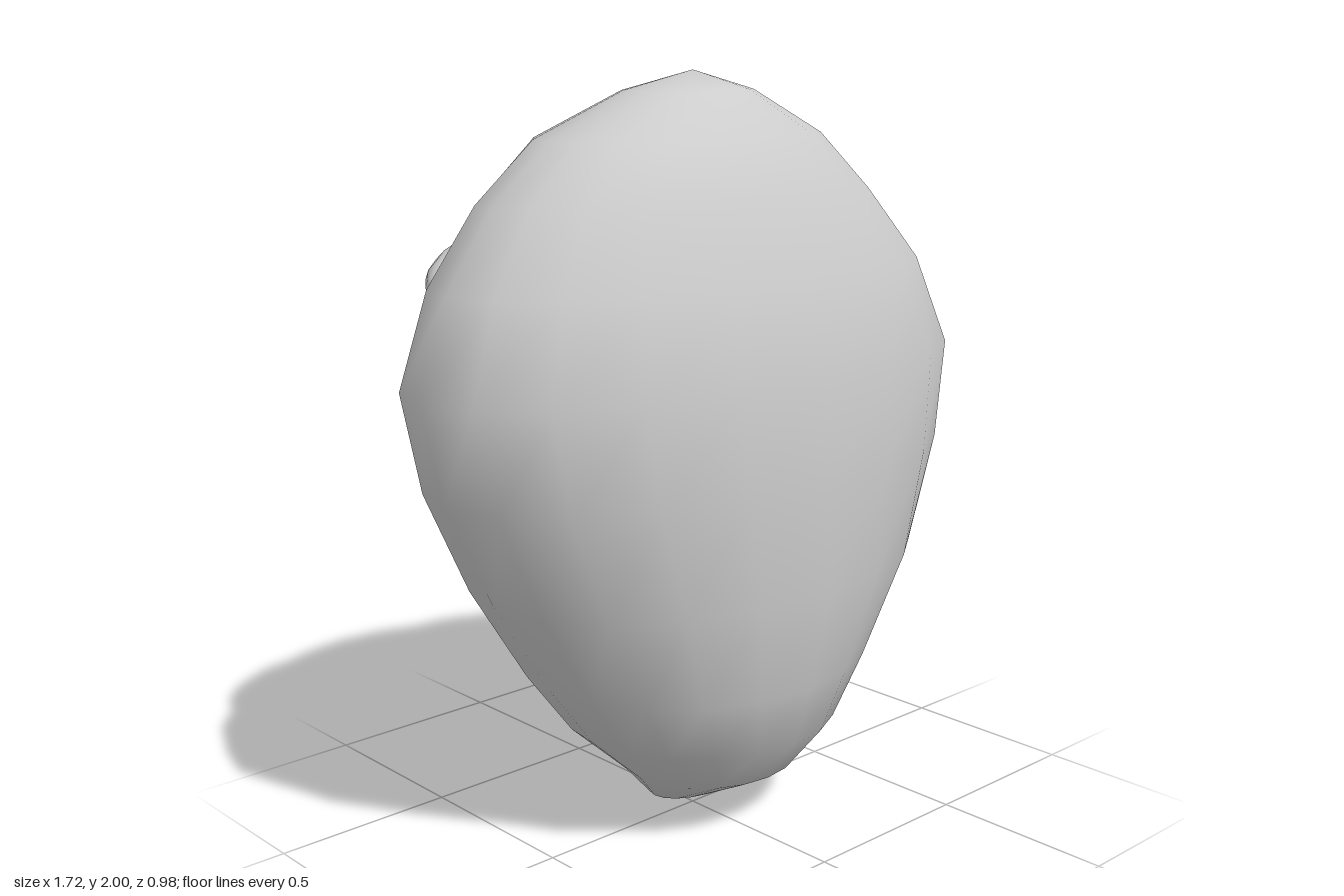
import * as THREE from 'three';

const SIDES = 20;

// Cross-sections from bottom to top: height, left x, right x, back z, front z
const SECTIONS = [
  [0.04, -0.11, 0.2, -0.13, 0.06],
  [0.14, -0.21, 0.3, -0.21, 0.25],
  [0.28, -0.36, 0.4, -0.36, 0.37],
  [0.46, -0.5, 0.5, -0.42, 0.44],
  [0.72, -0.66, 0.7, -0.49, 0.48],
  [1.0, -0.8, 0.81, -0.485, 0.49],
  [1.26, -0.86, 0.86, -0.475, 0.48],
  [1.5, -0.78, 0.74, -0.42, 0.43],
  [1.69, -0.635, 0.575, -0.35, 0.335],
  [1.84, -0.47, 0.39, -0.27, 0.27],
  [1.95, -0.18, 0.21, -0.165, 0.1],
];

// Closed body lofted through elliptical rings, with one point at each end
function bodyGeometry() {
  const points = [0.12, 0, 0];
  for (const [y, left, right, back, front] of SECTIONS) {
    for (let i = 0; i < SIDES; i++) {
      const a = (i / SIDES) * Math.PI * 2;
      points.push(
        (left + right) / 2 + (Math.cos(a) * (right - left)) / 2,
        y,
        (back + front) / 2 + (Math.sin(a) * (front - back)) / 2
      );
    }
  }
  points.push(0, 2, 0);

  const rings = SECTIONS.length;
  const top = 1 + rings * SIDES;
  const at = (ring, i) => 1 + ring * SIDES + (i % SIDES);
  const index = [];
  for (let i = 0; i < SIDES; i++) {
    index.push(0, at(0, i), at(0, i + 1));
    for (let r = 0; r < rings - 1; r++) {
      const a = at(r, i), b = at(r, i + 1), c = at(r + 1, i), d = at(r + 1, i + 1);
      index.push(a, c, b, b, c, d);
    }
    index.push(at(rings - 1, i), top, at(rings - 1, i + 1));
  }

  const geometry = new THREE.BufferGeometry();
  geometry.setAttribute('position', new THREE.Float32BufferAttribute(points, 3));
  geometry.setIndex(index);
  geometry.computeVertexNormals();
  return geometry;
}

// Long almond lying along x, curved so that both tips bend toward the body
function eyeGeometry() {
  const geometry = new THREE.SphereGeometry(1, 14, 10);
  geometry.rotateZ(Math.PI / 2);
  geometry.scale(0.31, 0.108, 0.1);
  const p = geometry.attributes.position;
  for (let i = 0; i < p.count; i++) {
    const t = p.getX(i) / 0.31;
    p.setZ(i, p.getZ(i) + 0.04 * t * t);
  }
  geometry.computeVertexNormals();
  return geometry;
}

export function createModel() {
  const model = new THREE.Group();
  const grey = new THREE.MeshStandardMaterial({ color: 0xcccccc });
  grey.name = 'light grey';

  const body = new THREE.Mesh(bodyGeometry(), grey);
  body.name = 'body';
  model.add(body);

  // Pair of eyes wrapped around the rear face
  const eyeShape = eyeGeometry();
  for (const side of [-1, 1]) {
    const eye = new THREE.Mesh(eyeShape, grey);
    eye.name = side > 0 ? 'leftEye' : 'rightEye';
    eye.position.set(side * 0.36, 1.49, -0.36);
    eye.rotation.set(0, -side * 0.27, -side * 0.05);
    model.add(eye);
  }
  return model;
}
